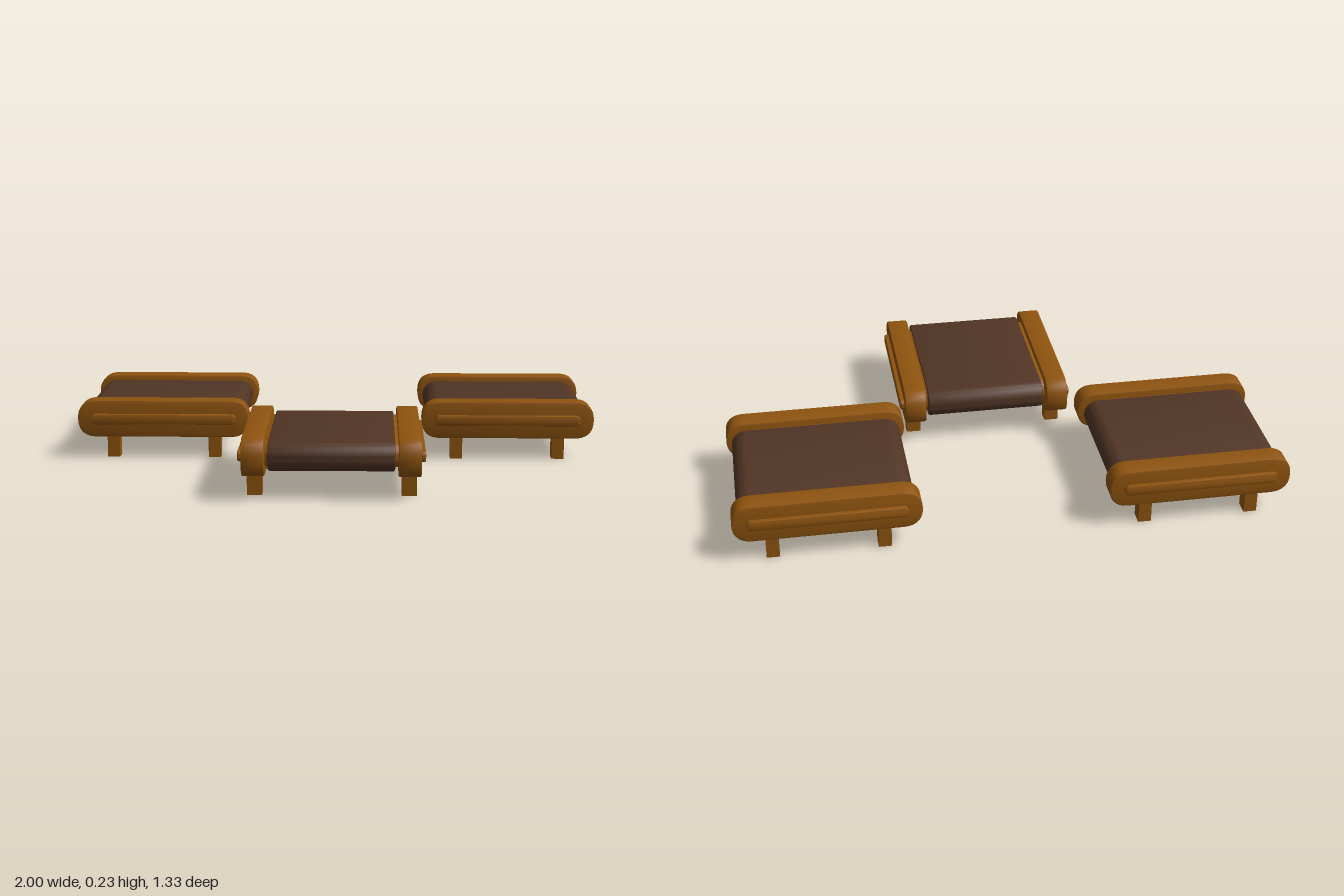
import * as THREE from 'three';
import { toCreasedNormals } from 'three/addons/utils/BufferGeometryUtils.js';

const wood = new THREE.MeshStandardMaterial({ name: 'wood', color: 0x8f540f });
const leather = new THREE.MeshStandardMaterial({ name: 'dark leather', color: 0x513525 });

// Long slab with rounded ends: half length a, half height b, thickness d, k sets end fullness
function slab(a, b, d, bevel, k = 0.55) {
  const s = new THREE.Shape();
  const c = a - b, e = c + b * k, h = b * k;
  s.moveTo(-c, -b);
  s.lineTo(c, -b);
  s.bezierCurveTo(e, -b, a, -h, a, 0);
  s.bezierCurveTo(a, h, e, b, c, b);
  s.lineTo(-c, b);
  s.bezierCurveTo(-e, b, -a, h, -a, 0);
  s.bezierCurveTo(-a, -h, -e, -b, -c, -b);
  const g = new THREE.ExtrudeGeometry(s, {
    depth: d - 2 * bevel, curveSegments: 10, bevelEnabled: true,
    bevelThickness: bevel, bevelSize: bevel, bevelOffset: -bevel, bevelSegments: 2,
  });
  g.translate(0, 0, -d / 2 + bevel);
  return toCreasedNormals(g, 0.6);
}

const cushionGeo = slab(0.312, 0.054, 0.446, 0.006);
const coreGeo = slab(0.275, 0.046, 0.48, 0.002);
const railGeo = slab(0.332, 0.071, 0.08, 0.004, 0.66);
const inlayGeo = slab(0.281, 0.02, 0.03, 0.006, 0.66);
const legGeo = new THREE.BoxGeometry(0.047, 0.1, 0.054);

function bench(name) {
  const g = new THREE.Group();
  g.name = name;
  const add = (part, geo, mat, x, y, z) => {
    const m = new THREE.Mesh(geo, mat);
    m.name = part;
    m.position.set(x, y, z);
    g.add(m);
  };
  add('cushion', cushionGeo, leather, 0, 0.154, 0);
  add('innerFrame', coreGeo, wood, 0, 0.154, 0);
  for (const s of [-1, 1]) {
    add('sideRail', railGeo, wood, 0, 0.154, s * 0.275);
    add('railInlay', inlayGeo, wood, 0, 0.154, s * 0.316);
    for (const t of [-1, 1]) add('leg', legGeo, wood, t * 0.197, 0.05, s * 0.275);
  }
  return g;
}

export function createModel() {
  const model = new THREE.Group();
  model.name = 'benches';
  // Two benches at the back, one turned a quarter at the front
  for (const [name, x, z, turn] of [
    ['leftBench', 0.667, -0.335, 0],
    ['rightBench', -0.667, -0.335, 0],
    ['frontBench', 0, 0.332, Math.PI / 2],
  ]) {
    const b = bench(name);
    b.position.set(x, 0, z);
    b.rotation.y = turn;
    model.add(b);
  }
  return model;
}
